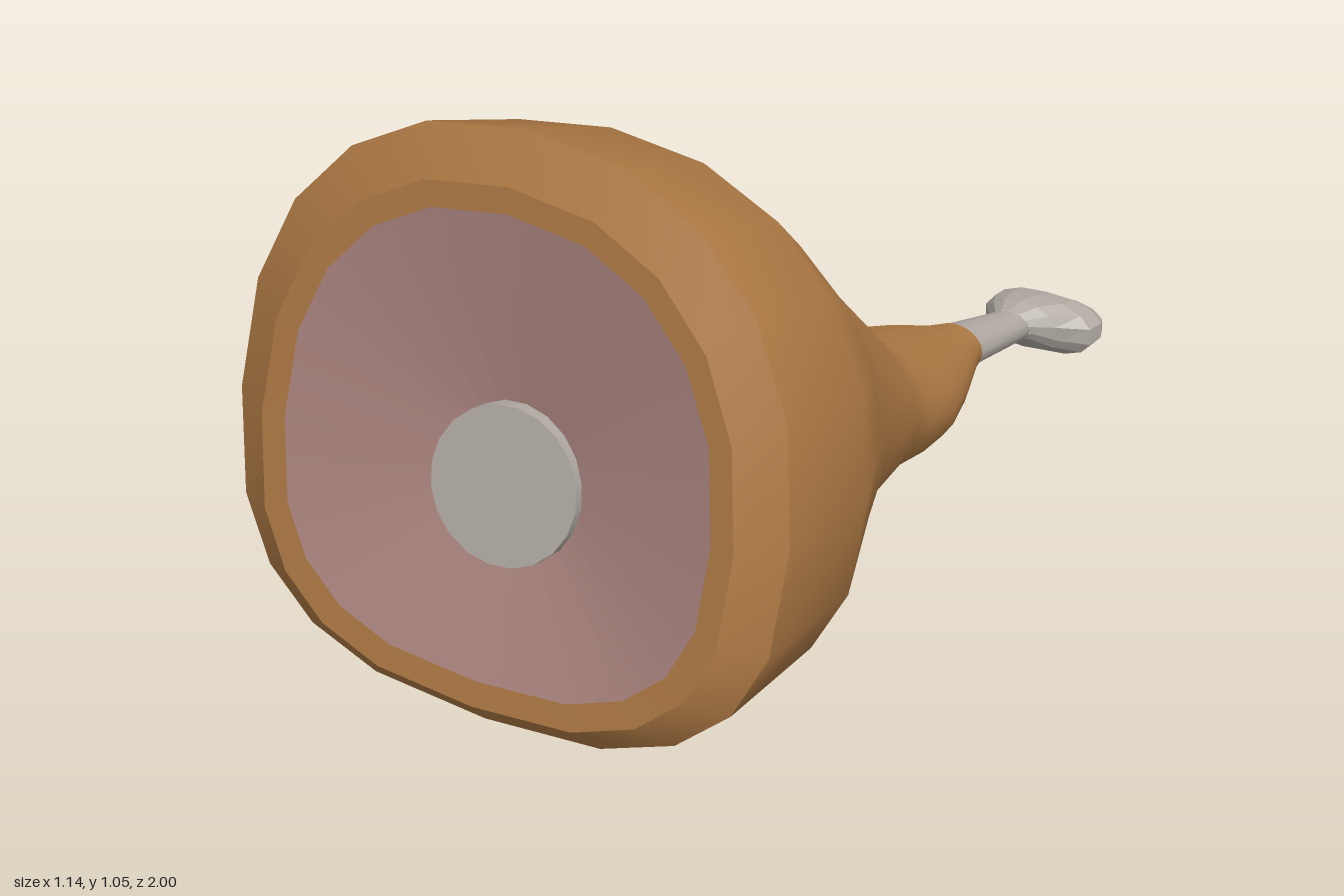
import * as THREE from 'three';

const rind = new THREE.MeshStandardMaterial({ color: 0xb07b45 });
const meat = new THREE.MeshStandardMaterial({ color: 0xac8580 });
const bone = new THREE.MeshStandardMaterial({ color: 0xb2aba4 });
const boneFlat = new THREE.MeshStandardMaterial({ color: 0xb2aba4, flatShading: true });

// A ring is [topZ, topY, bottomZ, bottomY, left x, right x, squareness, notch].
// The rings tilt between their top and bottom points; rows run front to back.
function loft(name, material, rings, sides) {
  const pos = [], index = [];
  const bulge = (v, n) => Math.sign(v) * Math.abs(v) ** (2 / n);
  for (const [tz, ty, bz, by, x0, x1, n = 2, notch = 0] of rings) {
    for (let j = 0; j < sides; j++) {
      const a = (j / sides) * Math.PI * 2, c = Math.cos(a);
      const e = c < -0.01 ? n + (n - 2) * 1.8 : n; // fuller underside
      const u = bulge(Math.sin(a), e), v = bulge(c, e);
      const mid = (ty + by) / 2 - (n - 2) * 0.23 * (ty - by); // belly sits low
      const y = v > 0 ? mid + v * (ty - mid) : mid + v * (mid - by);
      const f = ty === by ? 0.5 : (ty - y) / (ty - by);
      const z = tz + (bz - tz) * f + notch * (1 - Math.abs(u));
      pos.push((x0 + x1) / 2 + (u * (x1 - x0)) / 2, y, z);
    }
  }
  for (let i = 0; i < rings.length - 1; i++) {
    for (let j = 0; j < sides; j++) {
      const a = i * sides + j, b = i * sides + ((j + 1) % sides);
      const c = a + sides, d = b + sides;
      if (rings[i][4] !== rings[i][5]) index.push(a, b, c);
      if (rings[i + 1][4] !== rings[i + 1][5]) index.push(b, d, c);
    }
  }
  const geo = new THREE.BufferGeometry();
  geo.setAttribute('position', new THREE.Float32BufferAttribute(pos, 3));
  geo.setIndex(index);
  geo.computeVertexNormals();
  const mesh = new THREE.Mesh(geo, material);
  mesh.name = name;
  return mesh;
}

export function createModel() {
  const group = new THREE.Group();
  group.name = 'hamLeg';

  // Cut end: meat edge, rind edge and widest rim
  const meatCentre = [0.855, 0.455, 0.855, 0.455, 0.018, 0.018];
  const meatEdge = [0.857, 0.92, 0.99, 0.115, -0.44, 0.445, 2.25];
  const cutEdge = [0.85, 0.965, 1.0, 0.07, -0.49, 0.49, 2.25];
  const rim = [0.8, 1.05, 0.965, 0.03, -0.57, 0.57, 2.25];

  group.add(loft('cutMeat', meat, [meatCentre, meatEdge], 20));
  group.add(loft('cutRind', rind, [meatEdge, cutEdge], 20));
  group.add(loft('rimBevel', rind, [cutEdge, rim], 20));

  // Thigh tapering back to the shank
  group.add(loft('legSkin', rind, [
    rim,
    [0.57, 0.98, 0.7, 0.03, -0.55, 0.56, 2.2],
    [0.38, 0.83, 0.42, 0.06, -0.45, 0.44, 2.12],
    [0.18, 0.65, 0.18, 0.05, -0.335, 0.325, 2.05],
    [-0.02, 0.46, -0.06, 0.06, -0.23, 0.255],
    [-0.11, 0.355, -0.2, 0.047, -0.195, 0.225],
    [-0.24, 0.295, -0.3, 0.045, -0.18, 0.202],
    [-0.42, 0.235, -0.42, 0.045, -0.143, 0.145],
    [-0.58, 0.175, -0.58, 0.065, -0.09, 0.075],
    [-0.62, 0.168, -0.62, 0.07, -0.064, 0.062],
  ], 20));

  // Sawn bone standing proud of the recessed meat
  const cap = new THREE.Mesh(new THREE.CylinderGeometry(0.14, 0.14, 0.08, 20), bone);
  const normal = new THREE.Vector3(0.12, 0.2, 1).normalize();
  cap.quaternion.setFromUnitVectors(new THREE.Vector3(0, 1, 0), normal);
  cap.position.set(0.018, 0.455, 0.916).addScaledVector(normal, -0.04);
  cap.name = 'cutBone';
  group.add(cap);

  // Shank bone
  const neck = [-0.83, 0.12, -0.84, 0.052, -0.038, 0.055];
  group.add(loft('shankBone', bone, [
    [-0.6, 0.168, -0.6, 0.07, -0.06, 0.06],
    [-0.62, 0.166, -0.62, 0.07, -0.06, 0.06],
    neck,
  ], 12));

  // Two-lobed knuckle, notched in the middle of its end
  group.add(loft('knuckle', boneFlat, [
    neck,
    [-0.87, 0.13, -0.885, 0.02, -0.072, 0.095, 2.2],
    [-0.92, 0.128, -0.925, 0.002, -0.104, 0.152, 2.2],
    [-0.965, 0.122, -0.965, 0.012, -0.105, 0.156, 2.25, 0.008],
    [-0.99, 0.11, -0.99, 0.025, -0.095, 0.145, 2.25, 0.014],
    [-1.0, 0.095, -1.0, 0.04, -0.072, 0.125, 2.25, 0.022],
    [-0.975, 0.068, -0.975, 0.068, 0.025, 0.025],
  ], 14));

  return group;
}
